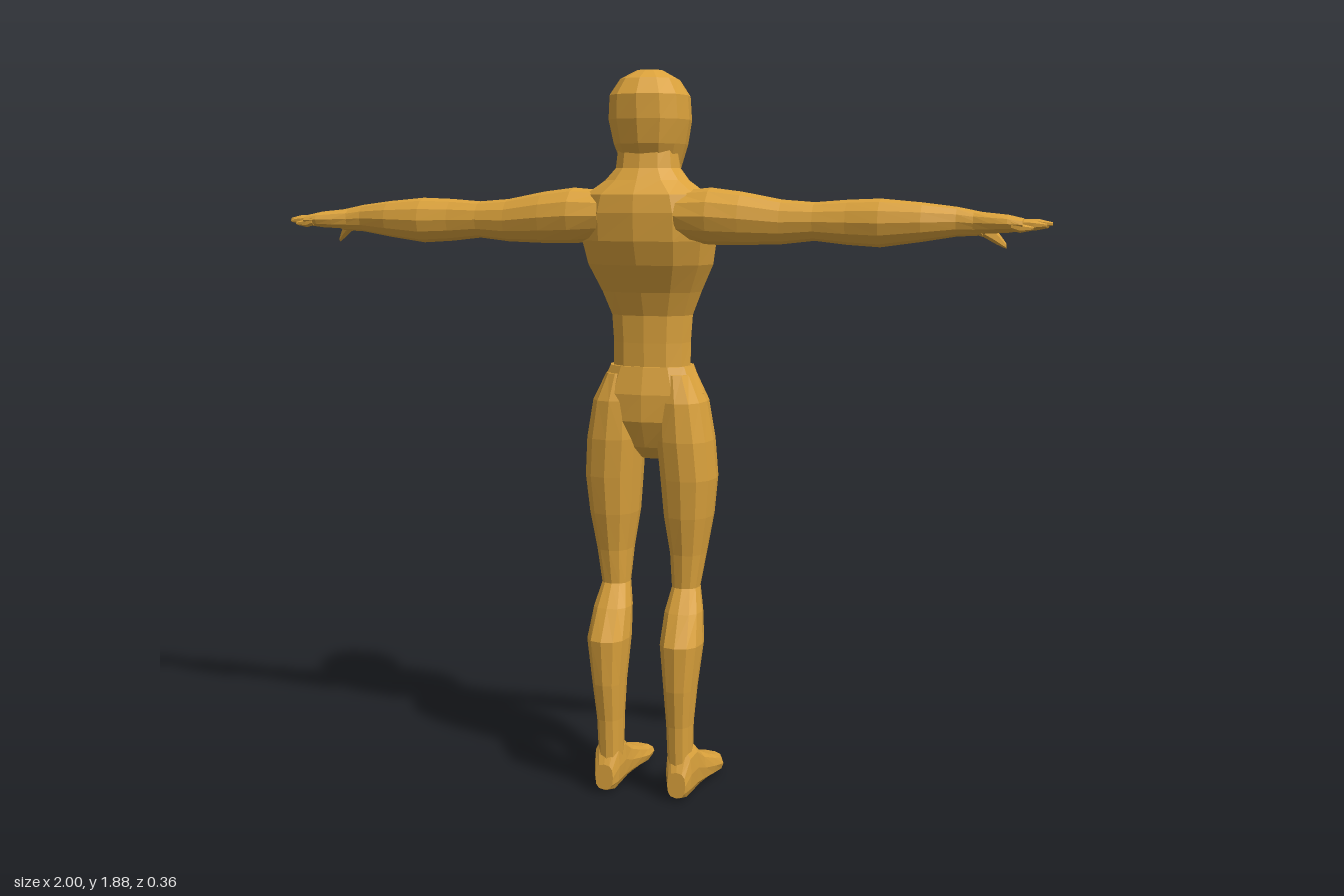
import * as THREE from 'three';

const SIDES = 12;

// Loft along an axis (0 x, 1 y, 2 z). Each section is [t, aMin, aMax, bMin, bMax],
// where a and b are the next two axes in x-y-z-x order; t increases.
function loft(axis, sections, { mirror = false, sides = SIDES, power = 0.85 } = {}) {
  const round = v => Math.sign(v) * Math.abs(v) ** power;
  const place = (t, a, b) => {
    const p = [0, 0, 0];
    p[axis] = t;
    p[(axis + 1) % 3] = a;
    p[(axis + 2) % 3] = b;
    if (mirror) p[0] = -p[0];
    return p;
  };
  const positions = [];
  const tri = (p, q, r) => positions.push(...p, ...(mirror ? r : q), ...(mirror ? q : r));
  const rings = sections.map(([t, a0, a1, b0, b1]) =>
    Array.from({ length: sides }, (_, i) => {
      const angle = (i / sides) * Math.PI * 2;
      return place(t,
        (a0 + a1) / 2 + (a1 - a0) / 2 * round(Math.cos(angle)),
        (b0 + b1) / 2 + (b1 - b0) / 2 * round(Math.sin(angle)));
    }));
  const centre = ([t, a0, a1, b0, b1]) => place(t, (a0 + a1) / 2, (b0 + b1) / 2);
  const first = centre(sections[0]);
  const last = centre(sections[sections.length - 1]);
  for (let j = 0; j < sides; j++) {
    const k = (j + 1) % sides;
    for (let i = 0; i < rings.length - 1; i++) {
      tri(rings[i][j], rings[i][k], rings[i + 1][k]);
      tri(rings[i][j], rings[i + 1][k], rings[i + 1][j]);
    }
    tri(first, rings[0][k], rings[0][j]);
    tri(last, rings[rings.length - 1][j], rings[rings.length - 1][k]);
  }
  const geometry = new THREE.BufferGeometry();
  geometry.setAttribute('position', new THREE.Float32BufferAttribute(positions, 3));
  geometry.computeVertexNormals(); // unshared corners give flat facets
  return geometry;
}

// Upright parts: [y, zFront, zBack, -x, x]
const HEAD = [
  [1.6, -0.045, 0.03, -0.04, 0.04], [1.64, -0.07, 0.1, -0.07, 0.07],
  [1.7, -0.085, 0.133, -0.09, 0.09], [1.76, -0.086, 0.145, -0.102, 0.102],
  [1.82, -0.084, 0.146, -0.098, 0.098], [1.86, -0.055, 0.118, -0.072, 0.072],
  [1.882, -0.01, 0.07, -0.032, 0.032],
];
const TORSO = [
  [1.13, -0.058, 0.088, -0.103, 0.103], [1.2, -0.062, 0.088, -0.103, 0.103],
  [1.27, -0.065, 0.09, -0.108, 0.108], [1.33, -0.08, 0.112, -0.132, 0.132],
  [1.4, -0.1, 0.15, -0.165, 0.165], [1.46, -0.1, 0.172, -0.176, 0.176],
  [1.53, -0.075, 0.178, -0.176, 0.176], [1.575, -0.05, 0.172, -0.16, 0.16],
  [1.61, -0.035, 0.145, -0.108, 0.108], [1.64, -0.03, 0.125, -0.082, 0.082],
  [1.7, -0.02, 0.115, -0.075, 0.075],
];
const PELVIS = [
  [0.895, -0.025, 0.035, -0.03, 0.03], [0.93, -0.062, 0.08, -0.06, 0.06],
  [1.0, -0.066, 0.11, -0.12, 0.12], [1.07, -0.065, 0.111, -0.142, 0.142],
  [1.14, -0.063, 0.095, -0.112, 0.112],
];
const LEG = [
  [0.09, 0.03, 0.118, 0.065, 0.127], [0.2, 0.03, 0.125, 0.062, 0.13],
  [0.3, 0.02, 0.14, 0.056, 0.14], [0.42, 0.002, 0.147, 0.045, 0.155],
  [0.5, -0.005, 0.105, 0.048, 0.147], [0.56, -0.018, 0.068, 0.06, 0.133],
  [0.65, -0.045, 0.077, 0.054, 0.147], [0.75, -0.064, 0.095, 0.038, 0.165],
  [0.85, -0.07, 0.107, 0.03, 0.175], [0.95, -0.066, 0.114, 0.022, 0.168],
  [1.05, -0.06, 0.11, 0.025, 0.15], [1.12, -0.045, 0.09, 0.04, 0.115],
];
// Foot from toe to heel: [z, xInner, xOuter, yLow, yHigh]
const FOOT = [
  [-0.18, 0.065, 0.115, 0.012, 0.028], [-0.165, 0.052, 0.145, 0.005, 0.042],
  [-0.12, 0.05, 0.162, 0, 0.052], [-0.06, 0.054, 0.157, 0.004, 0.076],
  [0, 0.06, 0.146, 0.004, 0.105], [0.05, 0.062, 0.14, 0, 0.145],
  [0.1, 0.064, 0.135, 0, 0.14], [0.125, 0.075, 0.125, 0.01, 0.08],
];
// Sideways parts: [x, yLow, yHigh, zFront, zBack]
const ARM = [
  [0.1, 1.46, 1.585, 0.01, 0.165], [0.18, 1.452, 1.592, 0.03, 0.172],
  [0.26, 1.452, 1.582, 0.045, 0.165], [0.36, 1.455, 1.563, 0.053, 0.15],
  [0.44, 1.464, 1.557, 0.058, 0.142], [0.52, 1.455, 1.563, 0.05, 0.143],
  [0.6, 1.45, 1.566, 0.047, 0.152], [0.7, 1.464, 1.557, 0.055, 0.142],
  [0.78, 1.477, 1.547, 0.062, 0.122], [0.84, 1.48, 1.535, 0.06, 0.122],
];
const PALM = [
  [0.82, 1.483, 1.537, 0.062, 0.122], [0.86, 1.485, 1.533, 0.052, 0.132],
  [0.9, 1.487, 1.529, 0.052, 0.141], [0.935, 1.492, 1.521, 0.056, 0.142],
];
const THUMB = [
  [0.8, 1.488, 1.52, 0.055, 0.085], [0.84, 1.475, 1.512, 0.038, 0.075],
  [0.868, 1.458, 1.492, 0.026, 0.052], [0.89, 1.447, 1.46, 0.018, 0.03],
];
// Fingers: [tip x, centre z, centre y at the tip]
const FINGERS = [[0.99, 0.066, 1.502], [1, 0.087, 1.508], [0.988, 0.109, 1.505], [0.96, 0.131, 1.498]];

export function createModel() {
  const model = new THREE.Group();
  model.name = 'figure';
  const skin = new THREE.MeshStandardMaterial({ color: 0xdba23c });
  skin.name = 'ochre';

  const add = (parent, name, axis, sections, options) => {
    const mesh = new THREE.Mesh(loft(axis, sections, options), skin);
    mesh.name = name;
    parent.add(mesh);
  };

  add(model, 'head', 1, HEAD);
  add(model, 'torso', 1, TORSO);
  add(model, 'pelvis', 1, PELVIS);

  // Limbs, mirrored across x
  for (const mirror of [false, true]) {
    const side = mirror ? 'right' : 'left';
    const leg = new THREE.Group();
    leg.name = side + 'LegGroup';
    add(leg, side + 'Leg', 1, LEG, { mirror });
    add(leg, side + 'Foot', 2, FOOT, { mirror, power: 0.75 });

    const arm = new THREE.Group();
    arm.name = side + 'ArmGroup';
    add(arm, side + 'Arm', 0, ARM, { mirror, power: 1 });
    add(arm, side + 'Palm', 0, PALM, { mirror });
    add(arm, side + 'Thumb', 0, THUMB, { mirror, sides: 6, power: 1 });
    FINGERS.forEach(([tip, z, y], i) => {
      const mid = tip - 0.03;
      add(arm, side + 'Finger' + (i + 1), 0, [
        [0.91, 1.493, 1.52, z - 0.011, z + 0.011],
        [mid, y - 0.01, y + 0.011, z - 0.01, z + 0.01],
        [tip, y - 0.004, y + 0.004, z - 0.005, z + 0.005],
      ], { mirror, sides: 6, power: 1 });
    });
    model.add(leg, arm);
  }
  return model;
}
